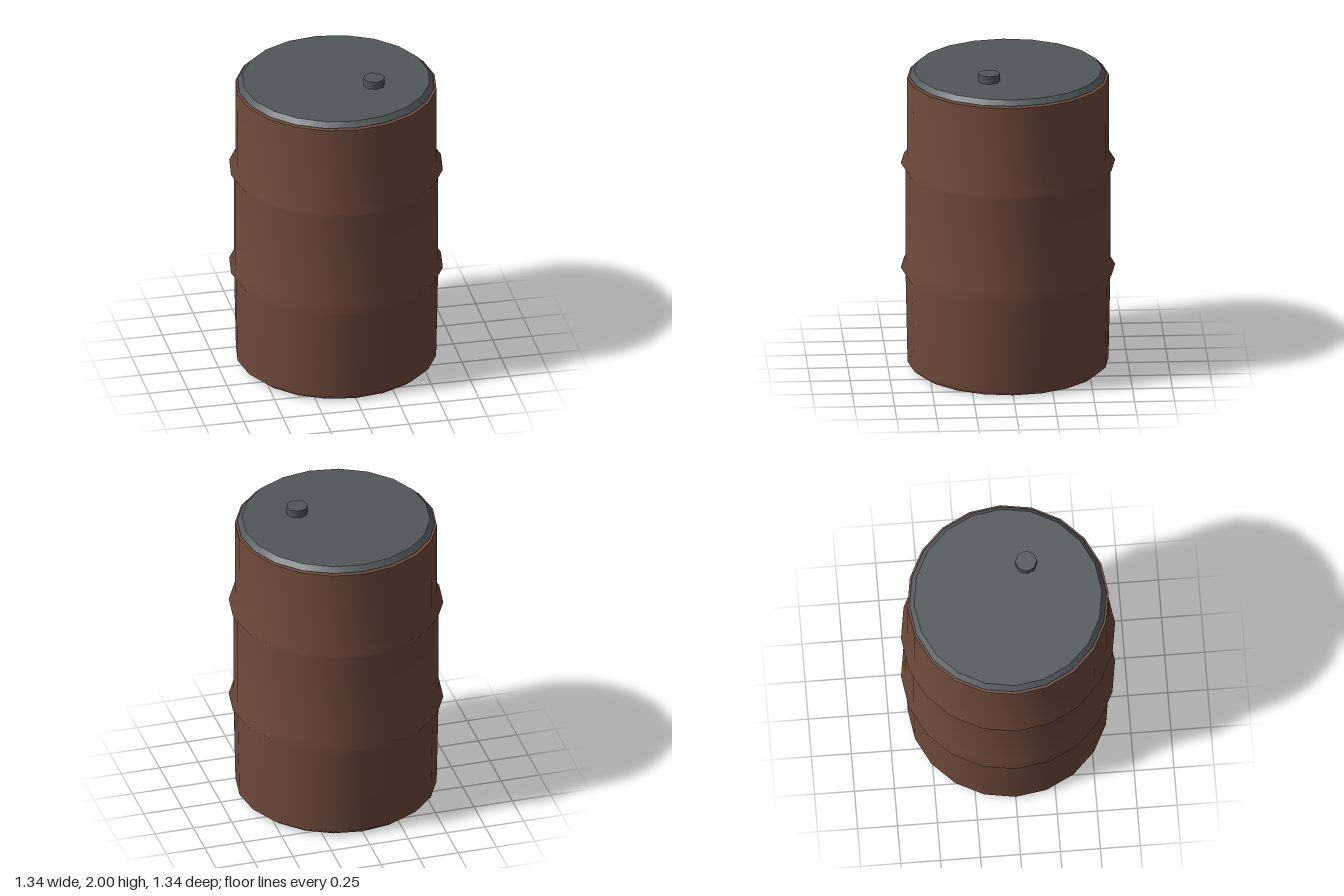
import * as THREE from 'three';

const SIDES = 20;

export function createModel() {
  const drum = new THREE.Group();
  drum.name = 'drum';

  const rust = new THREE.MeshStandardMaterial({ color: 0x714c3d });
  rust.name = 'rust brown';
  const steel = new THREE.MeshStandardMaterial({ color: 0x51575a });
  steel.name = 'dark steel';

  const add = (name, geometry, material, x = 0, y = 0, z = 0) => {
    const mesh = new THREE.Mesh(geometry, material);
    mesh.name = name;
    mesh.position.set(x, y, z);
    drum.add(mesh);
    return mesh;
  };

  // Barrel wall: chamfered foot, two pointed hoops, straight upper section
  const profile = [
    [0.585, 0], [0.628, 0.035],
    [0.64, 0.61], [0.67, 0.655], [0.64, 0.70],
    [0.64, 1.30], [0.67, 1.345], [0.632, 1.39],
    [0.63, 1.908],
  ].map(([r, y]) => new THREE.Vector2(r, y));
  add('barrelWall', new THREE.LatheGeometry(profile, SIDES), rust);

  // Flat ends of the barrel
  add('barrelBottom', new THREE.CircleGeometry(0.585, SIDES).rotateX(Math.PI / 2), rust);
  add('barrelTop', new THREE.CircleGeometry(0.63, SIDES).rotateX(-Math.PI / 2), rust, 0, 1.908, 0);

  // Bevelled lid, raised just clear of the barrel
  add('lid', new THREE.CylinderGeometry(0.587, 0.617, 0.032, SIDES), steel, 0, 1.934, 0);

  // Filler cap
  add('fillerCap', new THREE.CylinderGeometry(0.068, 0.068, 0.052, 8), steel, 0.215, 1.974, 0.13);

  return drum;
}
